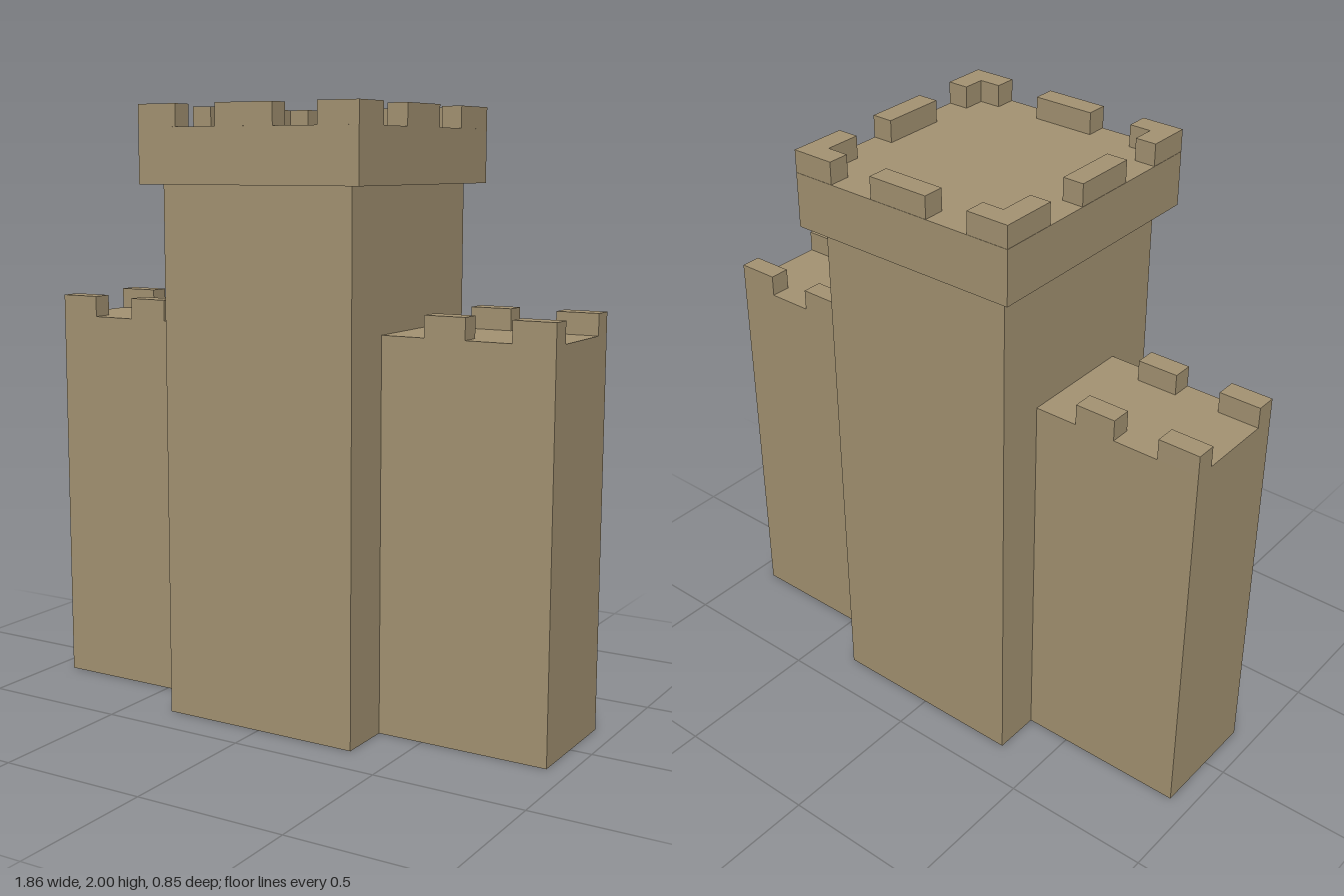
import * as THREE from 'three';

export function createModel() {
  const castle = new THREE.Group();
  castle.name = 'castle';
  const stone = new THREE.MeshStandardMaterial({ color: 0xa59473, flatShading: true });

  // Box given by its extents along each axis
  function block(name, [x0, x1], [y0, y1], [z0, z1], parent = castle) {
    const mesh = new THREE.Mesh(new THREE.BoxGeometry(x1 - x0, y1 - y0, z1 - z0), stone);
    mesh.position.set((x0 + x1) / 2, (y0 + y1) / 2, (z0 + z1) / 2);
    mesh.name = name;
    parent.add(mesh);
  }
  // Extent on the negative or positive side
  const span = (side, near, far) => (side > 0 ? [near, far] : [-far, -near]);

  // Central tower and overhanging crown
  block('tower', [-0.348, 0.346], [0, 1.75], [-0.37, 0.37]);
  block('crown', [-0.403, 0.401], [1.75, 1.928], [-0.427, 0.425]);

  // Crown battlements: L-shaped corners and one merlon mid-side
  const top = [1.928, 2];
  for (const sx of [-1, 1]) {
    for (const sz of [-1, 1]) {
      const corner = new THREE.Group();
      corner.name = 'cornerMerlon';
      block('cornerAlongX', span(sx, 0.258, 0.402), top, span(sz, 0.355, 0.426), corner);
      block('cornerAlongZ', span(sx, 0.331, 0.402), top, span(sz, sz > 0 ? 0.28 : 0.235, 0.355), corner);
      castle.add(corner);
    }
    block('sideMerlon', span(sx, 0.331, 0.402), top, [-0.083, 0.132]);
    block(sx > 0 ? 'frontMerlon' : 'backMerlon', [-0.108, 0.102], top, span(sx, 0.355, 0.426));
  }

  // Side wings with two pairs of merlons each
  for (const sx of [-1, 1]) {
    block(sx > 0 ? 'leftWing' : 'rightWing', span(sx, 0.346, 0.928), [0, 1.29], [-0.21, 0.186]);
    for (const [near, far] of [[0.494, 0.633], [0.787, 0.928]]) {
      block('wingFrontMerlon', span(sx, near, far), [1.29, 1.36], [0.117, 0.186]);
      block('wingBackMerlon', span(sx, near, far), [1.29, 1.36], [-0.21, -0.141]);
    }
  }
  return castle;
}
